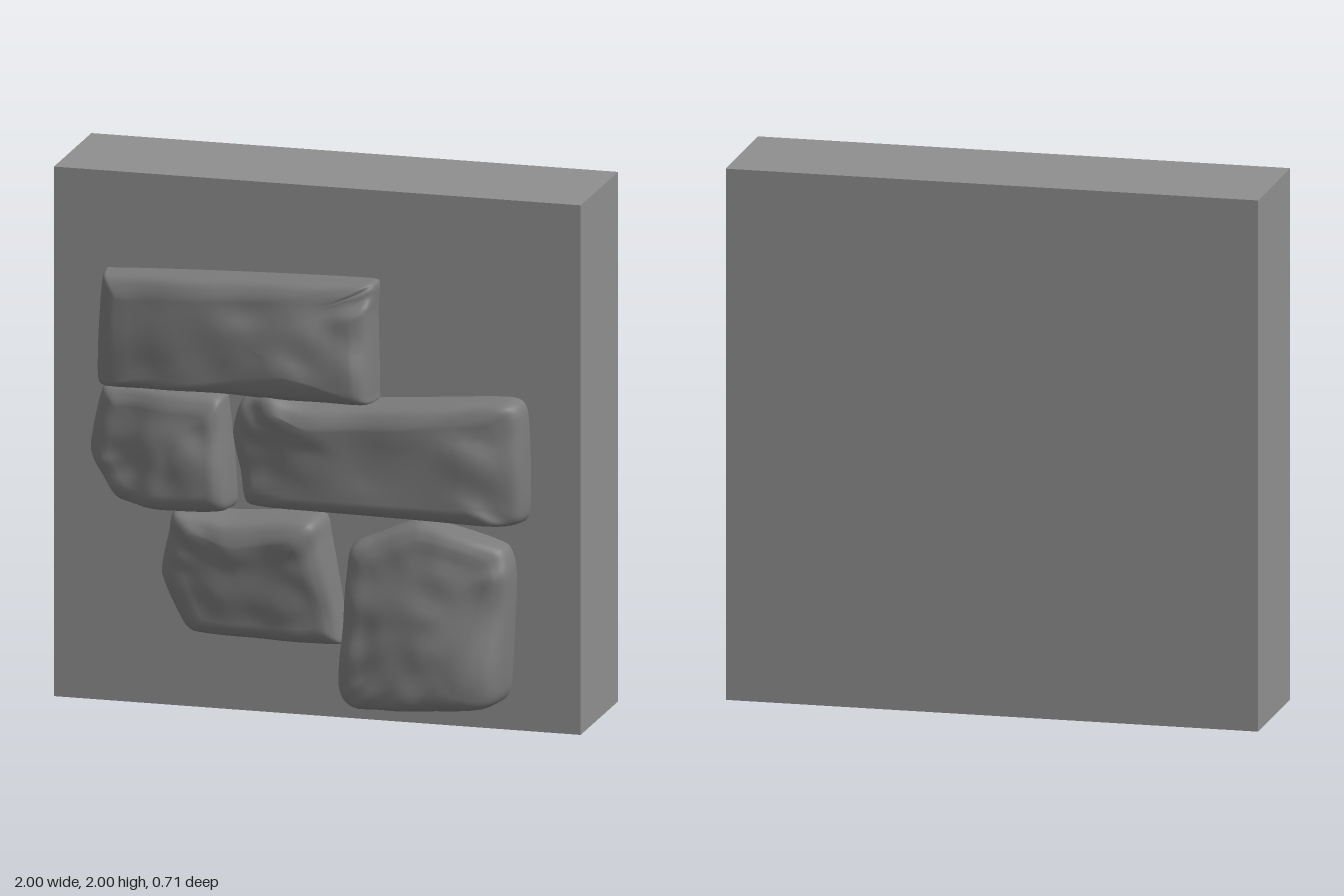
import * as THREE from 'three';

const slabMaterial = new THREE.MeshStandardMaterial({ color: 0x8f8f8f });
const stoneMaterial = new THREE.MeshStandardMaterial({ color: 0x7b7b7b });
const SLAB_FRONT = 0.14, SLAB_BACK = -0.355;
const PER_ROW = 8, BEVEL = 10, FACE = 10;

// Samples a closed loop with softly rounded corners through the given points.
function loop(points) {
  const curve = new THREE.CatmullRomCurve3(points, true, 'catmullrom', 0.3);
  const count = points.length * PER_ROW;
  return Array.from({ length: count }, (_, i) => curve.getPoint(i / count));
}

// Smooth face height at x, y, blended from nearby [x, y, z] points.
function faceHeight(x, y, knots) {
  let sum = 0, weights = 0;
  for (const [kx, ky, kz] of knots) {
    const w = 1 / (((x - kx) ** 2 + (y - ky) ** 2 + 0.0004) ** 1.5);
    sum += w * kz;
    weights += w;
  }
  return sum / weights;
}

// A stone: each row is [outline x, y, front edge x, y, z], counter-clockwise.
// Loops run from the slab over a rounded edge, then across the face to its centre.
// The first bump is the centre of the face.
function makeStone(name, bumps, rows) {
  const knots = [...bumps, ...rows.map(r => r.slice(2))];
  const outer = loop(rows.map(r => new THREE.Vector3(r[0], r[1], SLAB_FRONT - 0.03)));
  const inner = loop(rows.map(r => new THREE.Vector3(r[2], r[3], 0)));
  inner.forEach(p => { p.z = faceHeight(p.x, p.y, knots); });
  const [cx, cy] = bumps[0];
  const centre = new THREE.Vector3(cx, cy, faceHeight(cx, cy, knots));
  const around = outer.length, ringCount = BEVEL + FACE;
  const positions = [], index = [];

  for (let k = 0; k < ringCount; k++) {
    for (let i = 0; i < around; i++) {
      const a = outer[i], b = inner[i], p = new THREE.Vector3();
      if (k <= BEVEL) {
        const t = k / BEVEL, wa = (1 - t) ** 3, wb = t ** 3;
        const shoulder = new THREE.Vector3(a.x, a.y, b.z - 0.03).lerp(b, 0.12);
        p.addScaledVector(a, wa).addScaledVector(shoulder, 1 - wa - wb).addScaledVector(b, wb);
      } else {
        p.lerpVectors(b, centre, (k - BEVEL) / FACE);
        p.z = faceHeight(p.x, p.y, knots);
      }
      positions.push(p.x, p.y, p.z);
    }
  }
  positions.push(centre.x, centre.y, centre.z);

  const tip = ringCount * around;
  for (let k = 0; k < ringCount; k++) {
    for (let i = 0; i < around; i++) {
      const a = k * around + i, b = k * around + (i + 1) % around;
      if (k === ringCount - 1) index.push(a, b, tip);
      else index.push(a, b, b + around, a, b + around, a + around);
    }
  }

  const geometry = new THREE.BufferGeometry();
  geometry.setAttribute('position', new THREE.Float32BufferAttribute(positions, 3));
  geometry.setIndex(index);
  geometry.computeVertexNormals();
  const mesh = new THREE.Mesh(geometry, stoneMaterial);
  mesh.name = name;
  return mesh;
}

export function createModel() {
  const group = new THREE.Group();
  group.name = 'stoneWallPanel';

  // Backing slab
  const depth = SLAB_FRONT - SLAB_BACK;
  const slab = new THREE.Mesh(new THREE.BoxGeometry(2, 2, depth), slabMaterial);
  slab.name = 'wallSlab';
  slab.position.set(0, 1, (SLAB_FRONT + SLAB_BACK) / 2);
  group.add(slab);

  // Long stone in the top course
  group.add(makeStone('topStone', [[-0.25, 1.42, 0.3], [-0.5, 1.42, 0.28], [0, 1.42, 0.31]], [
    [-0.83, 1.23, -0.73, 1.27, 0.25], [-0.76, 1.2, -0.68, 1.24, 0.26],
    [-0.45, 1.21, -0.4, 1.25, 0.29], [-0.1, 1.2, -0.08, 1.31, 0.33],
    [0.22, 1.21, 0.14, 1.26, 0.32], [0.24, 1.25, 0.17, 1.31, 0.32],
    [0.235, 1.55, 0.15, 1.52, 0.29], [0.24, 1.65, 0.19, 1.62, 0.24],
    [0.2, 1.67, 0.1, 1.61, 0.26], [-0.25, 1.66, -0.25, 1.59, 0.27],
    [-0.75, 1.64, -0.7, 1.56, 0.25], [-0.81, 1.61, -0.74, 1.53, 0.25],
  ]));

  // Short stone in the middle course
  group.add(makeStone('middleShortStone', [[-0.56, 1.0, 0.28], [-0.46, 0.95, 0.3]], [
    [-0.74, 0.78, -0.7, 0.83, 0.26], [-0.58, 0.75, -0.56, 0.81, 0.29],
    [-0.36, 0.76, -0.39, 0.82, 0.3], [-0.3, 0.8, -0.36, 0.85, 0.3],
    [-0.33, 1.15, -0.38, 1.1, 0.27], [-0.37, 1.21, -0.42, 1.14, 0.26],
    [-0.77, 1.21, -0.73, 1.15, 0.22], [-0.82, 1.17, -0.76, 1.12, 0.22],
    [-0.86, 0.97, -0.79, 0.97, 0.22], [-0.83, 0.89, -0.77, 0.91, 0.23],
  ]));

  // Long stone in the middle course
  group.add(makeStone('middleLongStone', [[0.22, 1.0, 0.29], [0, 1, 0.3], [0.45, 1, 0.29], [0.6, 1.04, 0.3]], [
    [-0.25, 0.8, -0.19, 0.86, 0.28], [-0.1, 0.79, -0.08, 0.84, 0.29],
    [0.2, 0.79, 0.2, 0.84, 0.3], [0.7, 0.78, 0.62, 0.84, 0.3],
    [0.81, 0.82, 0.7, 0.88, 0.27], [0.805, 1.2, 0.7, 1.13, 0.26],
    [0.74, 1.26, 0.63, 1.18, 0.27], [0.35, 1.23, 0.35, 1.15, 0.3],
    [0, 1.21, 0, 1.13, 0.32], [-0.15, 1.25, -0.12, 1.17, 0.32],
    [-0.27, 1.2, -0.2, 1.12, 0.29], [-0.31, 1.08, -0.23, 1.05, 0.27],
    [-0.28, 0.93, -0.21, 0.95, 0.27],
  ]));

  // Smaller stone in the bottom course
  group.add(makeStone('bottomSmallStone', [[-0.22, 0.52, 0.29], [-0.08, 0.46, 0.29], [-0.33, 0.5, 0.29]], [
    [-0.45, 0.3, -0.41, 0.35, 0.27], [-0.2, 0.29, -0.2, 0.34, 0.27],
    [0.1, 0.285, 0.03, 0.34, 0.26], [0.12, 0.33, 0.05, 0.38, 0.26],
    [0.06, 0.68, 0, 0.6, 0.3], [0.02, 0.78, -0.05, 0.7, 0.32],
    [-0.3, 0.76, -0.28, 0.66, 0.31], [-0.52, 0.77, -0.44, 0.7, 0.3],
    [-0.55, 0.68, -0.48, 0.62, 0.28], [-0.58, 0.52, -0.5, 0.53, 0.27],
    [-0.51, 0.36, -0.45, 0.41, 0.27],
  ]));

  // Large upright stone in the bottom course
  group.add(makeStone('bottomLargeStone', [[0.42, 0.42, 0.31], [0.48, 0.28, 0.335], [0.32, 0.3, 0.31], [0.5, 0.56, 0.285]], [
    [0.12, 0.08, 0.2, 0.15, 0.3], [0.18, 0.055, 0.24, 0.13, 0.31],
    [0.4, 0.07, 0.4, 0.13, 0.34], [0.68, 0.1, 0.56, 0.15, 0.355],
    [0.74, 0.17, 0.6, 0.2, 0.355], [0.76, 0.58, 0.69, 0.57, 0.27],
    [0.73, 0.7, 0.66, 0.65, 0.25], [0.57, 0.75, 0.55, 0.69, 0.26],
    [0.4, 0.78, 0.41, 0.71, 0.25], [0.23, 0.71, 0.28, 0.65, 0.25],
    [0.13, 0.65, 0.2, 0.6, 0.25], [0.11, 0.38, 0.18, 0.38, 0.27],
    [0.095, 0.15, 0.17, 0.2, 0.29],
  ]));

  return group;
}
